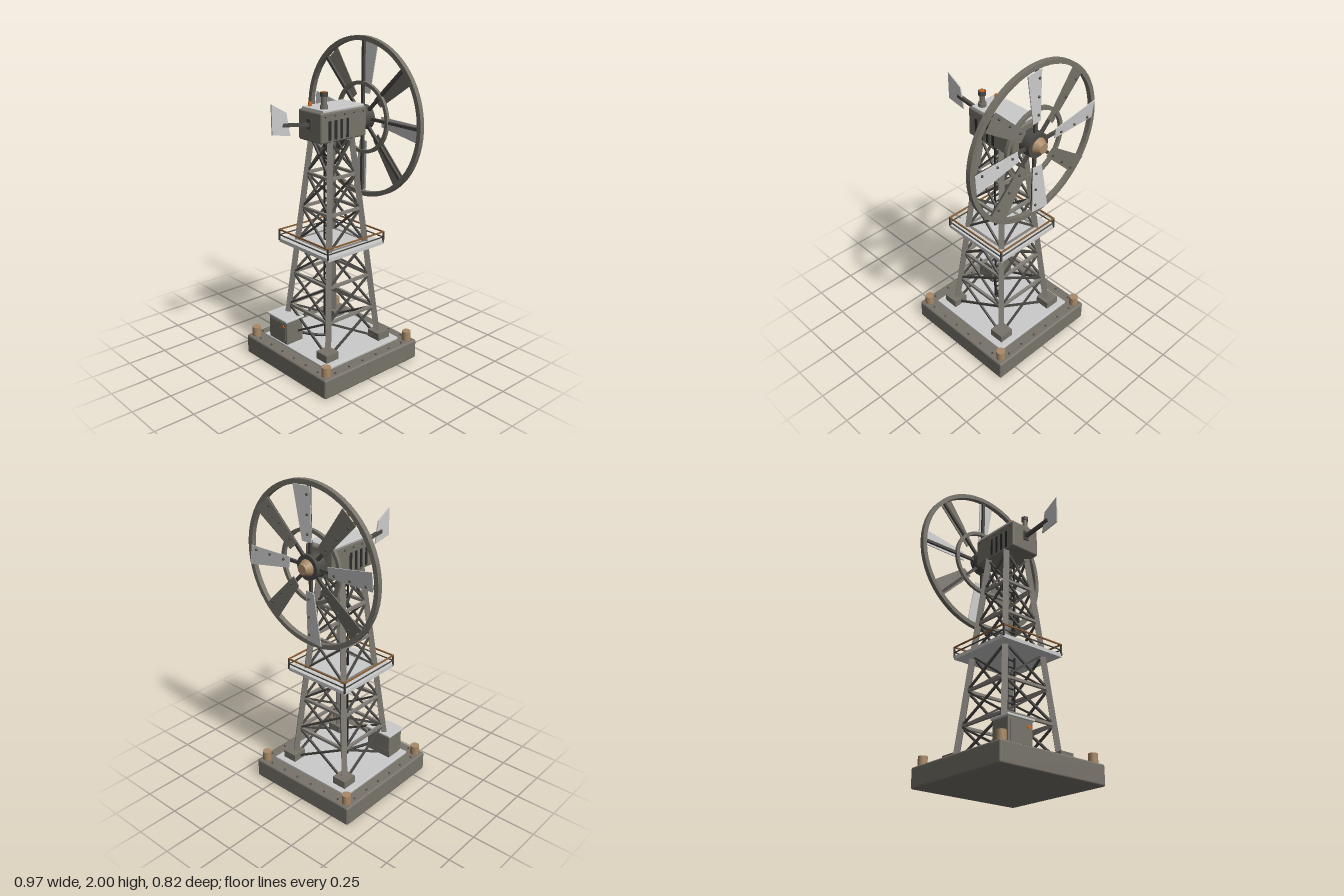
import * as THREE from 'three';
import { RoundedBoxGeometry } from 'three/addons/geometries/RoundedBoxGeometry.js';

const mat = (color, extra = {}) => new THREE.MeshStandardMaterial({ color, ...extra });
const LIGHT = mat(0xcccccc), STEEL = mat(0x77736a), LEG = mat(0x85817a), DARK = mat(0x4c4a46);
const BLACK = mat(0x2c2c2c), BRASS = mat(0xa98a68), RUST = mat(0x8a6038), ORANGE = mat(0xd8681c);
const LIGHT2 = mat(0xcccccc, { side: THREE.DoubleSide });
const V = (x, y, z) => new THREE.Vector3(x, y, z);
const CZ = -0.03; // tower axis

function add(parent, name, geo, m, x = 0, y = 0, z = 0) {
  const mesh = new THREE.Mesh(geo, m);
  mesh.name = name;
  mesh.position.set(x, y, z);
  parent.add(mesh);
  return mesh;
}
const box = (p, name, m, w, h, d, x, y, z) => add(p, name, new THREE.BoxGeometry(w, h, d), m, x, y, z);
const rbox = (p, name, m, w, h, d, x, y, z, r = 0.008) =>
  add(p, name, new RoundedBoxGeometry(w, h, d, 2, r), m, x, y, z);
const cyl = (p, name, m, r0, r1, h, x, y, z, n = 20) =>
  add(p, name, new THREE.CylinderGeometry(r1, r0, h, n), m, x, y, z);
const dome = (p, name, m, r, x, y, z) => add(p, name, new THREE.SphereGeometry(r, 8, 6), m, x, y, z);

// Square bar between two points
function bar(p, name, m, a, b, w, d = w) {
  const mesh = box(p, name, m, w, d, a.distanceTo(b), 0, 0, 0);
  mesh.position.copy(a).add(b).multiplyScalar(0.5);
  mesh.lookAt(b);
  return mesh;
}
function group(parent, name) {
  const g = new THREE.Group();
  g.name = name;
  parent.add(g);
  return g;
}
// Half width of the tapering tower at height y
const half = (y) => 0.208 - (y - 0.14) * 0.0965;

function buildBase(root) {
  const g = group(root, 'base');
  rbox(g, 'plinth', STEEL, 0.765, 0.125, 0.765, 0, 0.0625, CZ, 0.012);
  rbox(g, 'deckPlate', LIGHT, 0.6, 0.03, 0.6, 0, 0.125, CZ, 0.004);
  for (const sx of [-1, 1]) for (const sz of [-1, 1]) {
    cyl(g, 'cornerPost', BRASS, 0.028, 0.028, 0.062, sx * 0.337, 0.154, CZ + sz * 0.337);
    box(g, 'foot', STEEL, 0.095, 0.05, 0.095, sx * 0.21, 0.163, CZ + sz * 0.215);
  }
  for (let i = 0; i < 6; i++) for (const s of [-1, 1]) {
    const t = -0.278 + i * 0.1112;
    dome(g, 'rivet', DARK, 0.007, t, 0.126, CZ + s * 0.35);
    dome(g, 'rivet', DARK, 0.007, s * 0.35, 0.126, CZ + t);
  }
}

function buildTower(root) {
  const g = group(root, 'tower');
  const levels = Array.from({ length: 7 }, (_, i) => 0.14 + i * 0.215);
  const at = (sx, sz, y) => V(sx * half(y), y, CZ + sz * half(y));
  for (const sx of [-1, 1]) for (const sz of [-1, 1])
    bar(g, 'leg', LEG, at(sx, sz, 0.15), at(sx, sz, 1.44), 0.034);
  // Corners in order around the tower, one pair per face
  const corners = [[1, 1], [-1, 1], [-1, -1], [1, -1]];
  corners.forEach(([ax, az], f) => {
    const [bx, bz] = corners[(f + 1) % 4];
    for (let i = 0; i < 6; i++) {
      const y0 = levels[i], y1 = levels[i + 1];
      bar(g, 'crossBrace', DARK, at(ax, az, y0), at(bx, bz, y1), 0.012);
      bar(g, 'crossBrace', DARK, at(bx, bz, y0), at(ax, az, y1), 0.012);
      if (i < 5) bar(g, 'girt', LEG, at(ax, az, y1), at(bx, bz, y1), 0.017);
    }
  });
  // Ladder inside the tower
  const ladder = group(g, 'ladder');
  for (const s of [-1, 1]) box(ladder, 'ladderRail', BLACK, 0.009, 1.3, 0.009, s * 0.027, 0.79, 0);
  for (let i = 0; i < 29; i++) box(ladder, 'rung', BLACK, 0.054, 0.007, 0.007, 0, 0.17 + i * 0.0445, 0);
}

function buildPlatform(root) {
  const g = group(root, 'platform');
  box(g, 'floor', LIGHT, 0.45, 0.022, 0.45, 0, 0.78, CZ);
  const R = 0.224;
  for (let f = 0; f < 4; f++) {
    const side = group(g, 'railing');
    side.position.z = CZ;
    side.rotation.y = f * Math.PI / 2;
    box(side, 'topRail', RUST, 0.455, 0.008, 0.008, 0, 0.849, R);
    box(side, 'midRail', DARK, 0.45, 0.006, 0.006, 0, 0.815, R);
    box(side, 'railPost', DARK, 0.009, 0.07, 0.009, R, 0.815, R);
  }
}

function buildHead(root) {
  const g = group(root, 'gearHouse');
  rbox(g, 'housing', STEEL, 0.204, 0.18, 0.352, 0, 1.52, -0.04, 0.012);
  rbox(g, 'lid', LIGHT, 0.19, 0.02, 0.315, 0, 1.612, -0.042, 0.004);
  for (const s of [-1, 1]) {
    for (let i = 0; i < 4; i++)
      box(g, 'vent', BLACK, 0.006, 0.112, 0.018, s * 0.102, 1.502, 0.072 - i * 0.045);
    for (let i = 0; i < 5; i++) dome(g, 'houseRivet', DARK, 0.006, s * 0.102, 1.585, 0.105 - i * 0.073);
  }
  // Exhaust stack with collars
  cyl(g, 'stack', STEEL, 0.016, 0.016, 0.09, 0.053, 1.66, 0.073);
  cyl(g, 'stackCollar', STEEL, 0.023, 0.023, 0.025, 0.053, 1.632, 0.073);
  cyl(g, 'stackCap', DARK, 0.022, 0.022, 0.025, 0.053, 1.705, 0.073);
  cyl(g, 'stackGlow', ORANGE, 0.015, 0.015, 0.004, 0.053, 1.718, 0.073);
  cyl(g, 'beacon', ORANGE, 0.012, 0.01, 0.026, -0.063, 1.633, 0.08);
  // Tail rod and vane
  box(g, 'tailBracket', DARK, 0.035, 0.06, 0.012, 0, 1.535, 0.138);
  bar(g, 'tailRod', DARK, V(0, 1.53, 0.13), V(0, 1.557, 0.335), 0.02);
  const vane = new THREE.Shape([[0.41, 1.683], [0.308, 1.625], [0.282, 1.49], [0.408, 1.512]]
    .map(([z, y]) => new THREE.Vector2(-z, y)));
  const geo = new THREE.ExtrudeGeometry(vane, { depth: 0.008, bevelEnabled: false });
  add(g, 'tailVane', geo, LIGHT2, 0, 0, 0).rotation.y = Math.PI / 2;
}

// Flat ring with a rectangular section, facing z
function ring(p, name, r0, r1, depth, z) {
  const s = new THREE.Shape().absarc(0, 0, r1, 0, Math.PI * 2, false);
  s.holes.push(new THREE.Path().absarc(0, 0, r0, 0, Math.PI * 2, true));
  const geo = new THREE.ExtrudeGeometry(s, { depth, bevelEnabled: false, curveSegments: 32 });
  return add(p, name, geo, STEEL, 0, 0, z - depth / 2);
}

function buildWheel(root) {
  const g = group(root, 'windWheel');
  g.position.set(0, 1.515, -0.277);
  ring(g, 'rim', 0.457, 0.485, 0.03, 0);
  ring(g, 'innerRing', 0.198, 0.22, 0.02, 0);
  const turned = (name, m, r0, r1, h, z) => {
    cyl(g, name, m, r0, r1, h, 0, 0, z, 28).rotation.x = -Math.PI / 2; // narrow end to the rear
  };
  turned('shaft', DARK, 0.035, 0.035, 0.08, 0.05);
  turned('hub', DARK, 0.075, 0.075, 0.075, 0.004);
  turned('hubCone', BRASS, 0.05, 0.03, 0.04, -0.054);
  const outline = new THREE.Shape([[0.145, -0.024], [0.455, -0.02], [0.455, 0.095], [0.145, 0.04]]
    .map(([r, t]) => new THREE.Vector2(r, -t)));
  const bladeGeo = new THREE.ExtrudeGeometry(outline, { depth: 0.005, bevelEnabled: false });
  for (let i = 0; i < 8; i++) {
    const arm = group(g, 'bladeArm');
    arm.rotation.z = i * Math.PI / 4;
    box(arm, 'spoke', DARK, 0.41, 0.018, 0.016, 0.255, 0, -0.005);
    const pitched = group(arm, 'pitchedBlade');
    pitched.position.z = -0.02;
    pitched.rotation.x = 0.1;
    add(pitched, 'blade', bladeGeo, i % 2 ? STEEL : LIGHT2, 0, 0, -0.003).material.side = THREE.DoubleSide;
    for (const r of [0.19, 0.3, 0.41]) dome(pitched, 'bladeBolt', DARK, 0.008, r, 0, -0.005);
  }
}

function buildCabinet(root) {
  const g = group(root, 'controlCabinet');
  rbox(g, 'cabinet', STEEL, 0.175, 0.155, 0.125, -0.167, 0.215, 0.202, 0.004);
  rbox(g, 'cabinetLid', LIGHT, 0.195, 0.014, 0.145, -0.167, 0.298, 0.204, 0.004);
  box(g, 'cabinetDoor', STEEL, 0.15, 0.12, 0.005, -0.167, 0.215, 0.266);
  const lamp = cyl(g, 'cabinetLamp', ORANGE, 0.011, 0.011, 0.01, -0.11, 0.255, 0.268);
  lamp.rotation.x = Math.PI / 2;
  // Cable to the foot of the ladder
  const path = new THREE.CatmullRomCurve3([
    V(-0.1, 0.18, 0.14), V(-0.06, 0.165, 0.09), V(-0.02, 0.152, 0.03), V(0, 0.15, -0.02)]);
  add(g, 'cable', new THREE.TubeGeometry(path, 16, 0.009, 8), BLACK);
}

export function createModel() {
  const root = new THREE.Group();
  root.name = 'windPump';
  buildBase(root);
  buildTower(root);
  buildPlatform(root);
  buildHead(root);
  buildWheel(root);
  buildCabinet(root);
  return root;
}
